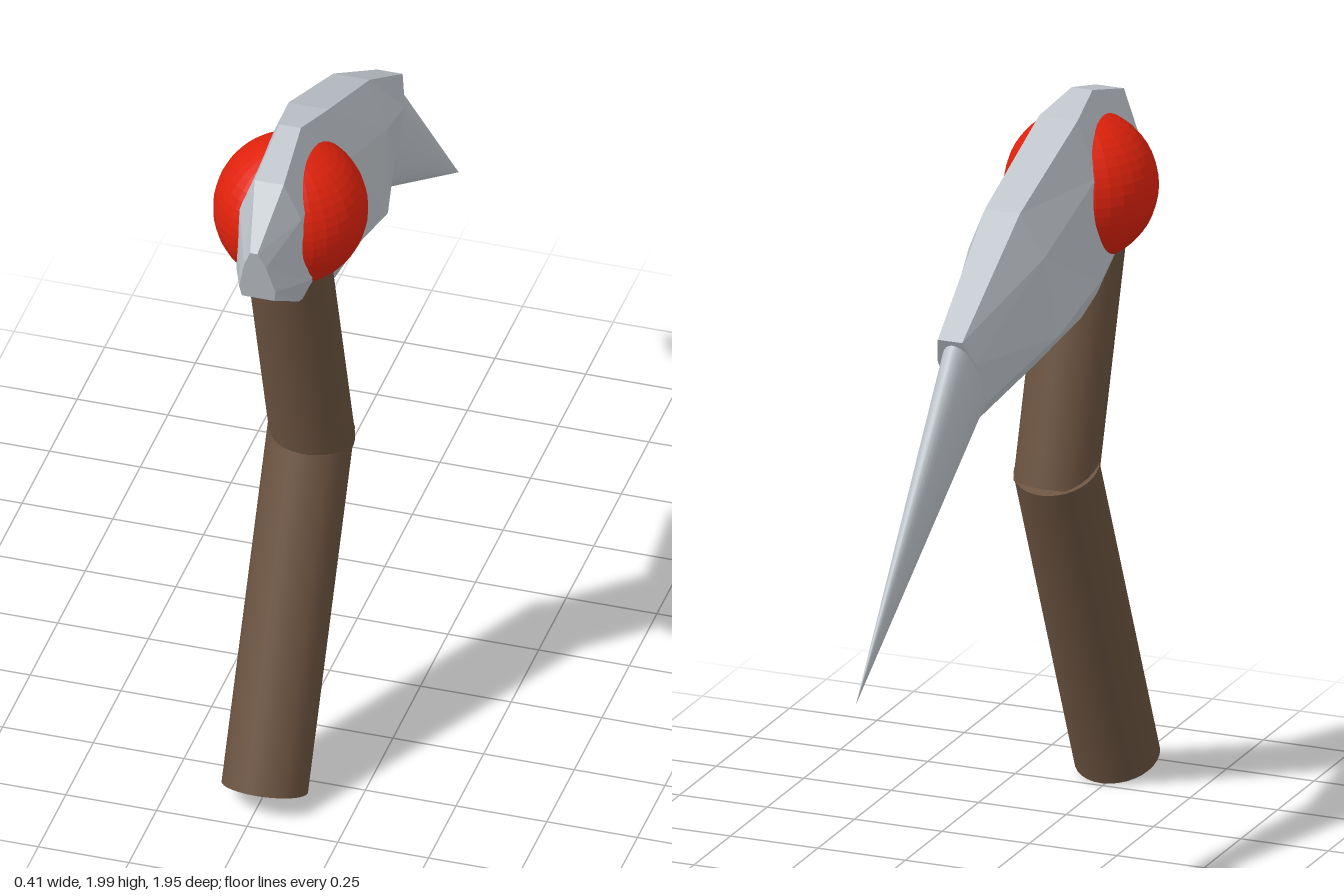
import * as THREE from 'three';

const V = (x, y, z) => new THREE.Vector3(x, y, z);

function makeMaterial(name, color, flatShading = false) {
  const m = new THREE.MeshStandardMaterial({ color, flatShading });
  m.name = name;
  return m;
}

// Round bar (or cone) running from point a to point b
function bar(name, a, b, rBottom, rTop, material) {
  const dir = b.clone().sub(a);
  const mesh = new THREE.Mesh(
    new THREE.CylinderGeometry(rTop, rBottom, dir.length(), 32), material);
  mesh.position.copy(a).add(b).multiplyScalar(0.5);
  mesh.quaternion.setFromUnitVectors(V(0, 1, 0), dir.normalize());
  mesh.name = name;
  return mesh;
}

// Faceted skin through a row of rings, closed at both ends
function loft(rings) {
  const pos = [];
  const tri = (...pts) => pts.forEach(p => pos.push(p.x, p.y, p.z));
  const n = rings[0].length;
  for (let i = 0; i < rings.length - 1; i++) {
    for (let j = 0; j < n; j++) {
      const k = (j + 1) % n;
      const a = rings[i][j], b = rings[i][k], c = rings[i + 1][j], d = rings[i + 1][k];
      tri(a, b, d);
      tri(a, d, c);
    }
  }
  const first = rings[0], last = rings[rings.length - 1];
  for (let k = 1; k < n - 1; k++) {
    tri(first[0], first[k + 1], first[k]);
    tri(last[0], last[k], last[k + 1]);
  }
  const g = new THREE.BufferGeometry();
  g.setAttribute('position', new THREE.Float32BufferAttribute(pos, 3));
  g.computeVertexNormals();
  return g;
}

export function createModel() {
  const group = new THREE.Group();
  const wood = makeMaterial('brown wood', 0x6b5340);
  const steel = makeMaterial('pale steel', 0xbfc5cb, true);
  const red = makeMaterial('red', 0xe0220c, true);

  // Bent handle in two lengths
  group.add(bar('lowerHandle', V(0.01, 0.05, 0.873), V(0.024, 0.975, 0.492), 0.115, 0.115, wood));
  group.add(bar('upperHandle', V(0.03, 0.925, 0.5), V(0.006, 1.62, 0.65), 0.112, 0.112, wood));

  // Head sections: top z, top y, bottom z, bottom y, centre x, half widths from top to bottom
  const levels = [0, 0.28, 0.8, 1];
  const sections = [
    [0.94, 1.81, 0.9, 1.64, 0, [0.01, 0.03, 0.05, 0.045]],
    [0.8, 1.945, 0.76, 1.55, 0, [0.04, 0.085, 0.1, 0.07]],
    [0.61, 2.0, 0.55, 1.46, 0, [0.03, 0.095, 0.11, 0.07]],
    [0.46, 1.965, 0.45, 1.42, 0.005, [0.055, 0.11, 0.125, 0.07]],
    [0.1, 1.82, 0.2, 1.37, 0.014, [0.05, 0.108, 0.125, 0.055]],
    [-0.28, 1.58, -0.12, 1.32, 0.005, [0.035, 0.055, 0.05, 0.02]],
  ];
  const rings = sections.map(([zt, yt, zb, yb, cx, widths]) => {
    const side = s => widths.map((w, i) => V(
      cx + s * w,
      THREE.MathUtils.lerp(yt, yb, levels[i]),
      THREE.MathUtils.lerp(zt, zb, levels[i])));
    return [...side(1), ...side(-1).reverse()];
  });
  const head = new THREE.Mesh(loft(rings), steel);
  head.name = 'head';
  group.add(head);

  // Long flattened spike, smooth
  const smoothSteel = steel.clone();
  smoothSteel.flatShading = false;
  const spike = bar('spike', V(0.004, 1.45, -0.18), V(-0.015, 0.79, -0.97), 0.155, 0, smoothSteel);
  spike.scale.x = 0.34;
  group.add(spike);

  // Ball through the head, bulging out on both sides as eyes
  const eyes = new THREE.Mesh(new THREE.SphereGeometry(0.205, 32, 24), red);
  eyes.position.set(0, 1.735, 0.605);
  eyes.name = 'eyes';
  group.add(eyes);

  return group;
}
